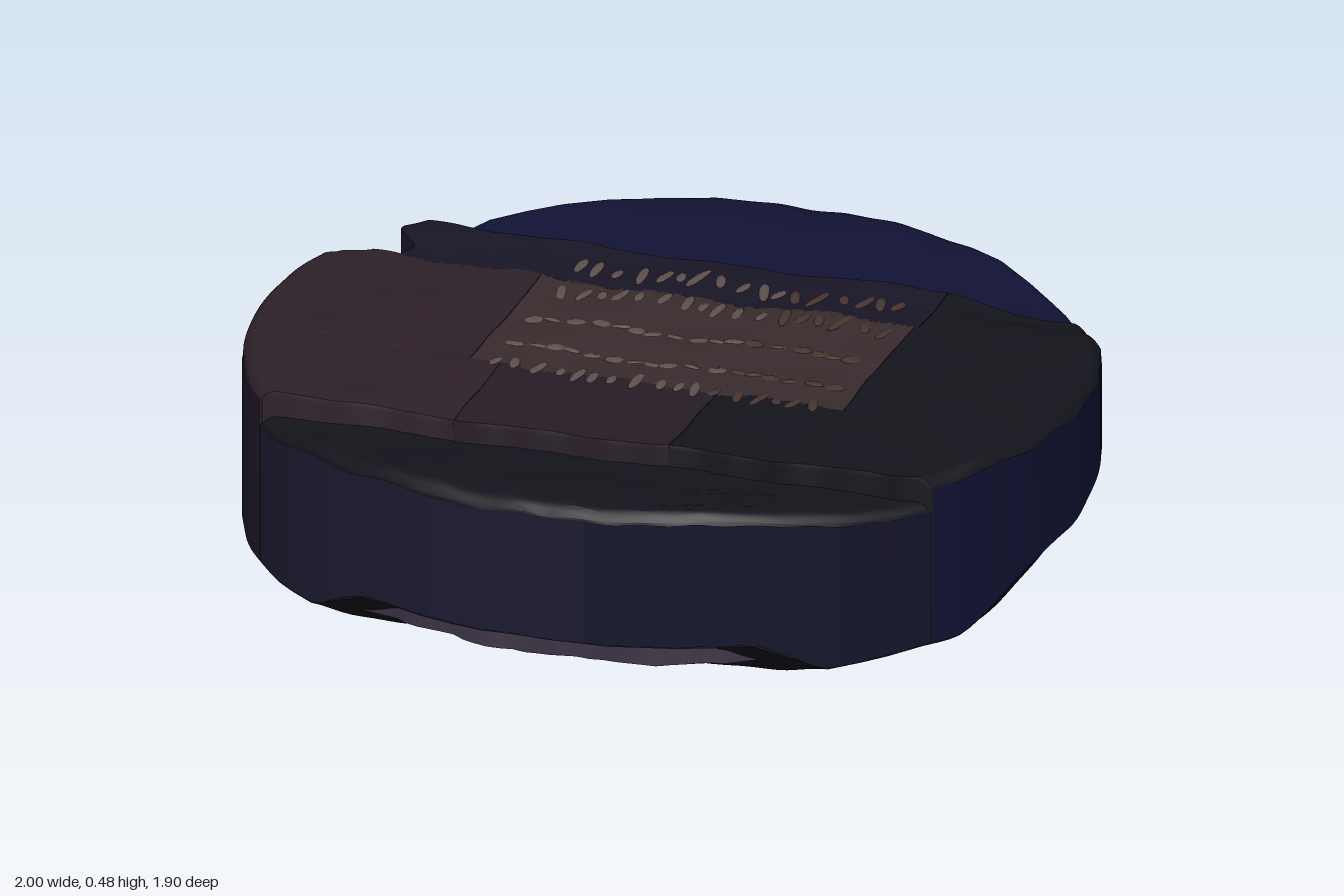
import * as THREE from 'three';
import { toCreasedNormals } from 'three/addons/utils/BufferGeometryUtils.js';

const RZ = 0.949;
const step = THREE.MathUtils.smoothstep;
const wobble = (x, z) => Math.sin(x * 17 + z * 9) * 0.5 + Math.sin(x * 41 - z * 23 + 1) * 0.3 + Math.sin(x * 7 + z * 31 + 2) * 0.3;

// Outline of the disc: slightly squarer in front, with a broken notch on the -x side
const power = z => (z > 0 ? 2.1 : 2);
const halfWidth = z => 0.997 * Math.max(0, 1 - (Math.abs(z) / RZ) ** power(z)) ** (1 / power(z)) * (1 + 0.002 * Math.sin(z * 29));
function leftEdge(z, behindNotch) {
  const bite = behindNotch
    ? 0.06 * step(z, -0.8, -0.5) + 0.11 * step(z, -0.45, -0.35)
    : z < 0 ? 0.1 * step(-z, 0.24, 0.3) : 0;
  return -halfWidth(z) + bite;
}
const rimDistance = (x, z) => 1 - (Math.abs(x) ** power(z) + (Math.abs(z) / RZ) ** power(z)) ** (1 / power(z));

// Underside: shallow belly that rises to the back, the front rim and the +x rim
function bottomY(x, z) {
  const rim = 1 - step(rimDistance(x, z), 0, 0.07);
  return 0.008 + 0.055 * step(-z, -0.2, 0.65) + 0.035 * step(-z, 0.6, 0.95)
    + 0.085 * step(z, 0.74, 0.86) * (1 - step(Math.abs(x), 0.56, 0.7))
    + 0.03 * step(x, 0.3, 0.9) + 0.012 * step(-x, 0.3, 0.9) + 0.12 * step(x, 0.86, 1)
    + 0.05 * step(x - z, 0.6, 1.3) * step(-z, -0.1, 0.4)
    + 0.012 * rim + 0.003 * (1 + wobble(x, z));
}

// Upper face: raised middle boards, lower front and back boards that rise to the rim
function topY(x, z, level) {
  let y = 0.462 + 0.012 * step(Math.abs(x), 0.4, 0.95) - 0.045 * step(-z, 0.31, 0.51) * step(x, 0.5, 0.7);
  if (level === 'back') y = 0.4 + 0.048 * step(-z, 0.53, 0.85);
  if (level === 'front') y = 0.41 + 0.038 * step(z, 0.57, 0.88);
  const d = Math.max(0, rimDistance(x, z));
  return y - 0.026 * (1 - Math.min(1, d / 0.03)) ** 2 + 0.006 * wobble(x, z);
}

function meshData(pos, idx) {
  const g = new THREE.BufferGeometry();
  g.setAttribute('position', new THREE.Float32BufferAttribute(pos, 3));
  g.setIndex(idx);
  return toCreasedNormals(g, 0.7);
}

// A closed board between two seams, clipped by the disc outline
function board({ z0, z1, x0 = -2, x1 = 2, level = 'middle', behind = false }) {
  const nx = 44, nz = 16, ring = 2 * (nx + 1), pos = [], idx = [];
  const startSeam = z0 > -0.9, endSeam = z1 < 0.9, lap = 0.006;
  const t0 = Math.asin((z0 - (startSeam ? lap : 0)) / RZ), t1 = Math.asin((z1 + (endSeam ? lap : 0)) / RZ);
  for (let j = 0; j <= nz; j++) {
    const s = (1 - Math.cos(Math.PI * j / nz)) / 2;
    const z = RZ * Math.sin(t0 + (t1 - t0) * s);
    const xl = Math.max(x0, leftEdge(z, behind)), xr = Math.min(x1, halfWidth(z));
    for (let k = 0; k < ring; k++) {
      const top = k <= nx, i = top ? k : ring - 1 - k;
      const x = xl + (xr - xl) * (1 - Math.cos(Math.PI * i / nx)) / 2;
      // ragged seams away from the rim, with a fine groove along each board edge
      const shift = 0.011 * wobble(x, 0) * (1 - step(Math.abs(z), 0.57, 0.8)) * step(rimDistance(x, z), 0, 0.1);
      const onSeam = (j === 0 && startSeam) || (j === nz && endSeam);
      const onCut = (i === 0 && x0 > -2) || (i === nx && x1 < 2);
      const y = top ? topY(x, z, level) - (onSeam || onCut ? 0.012 : 0) : bottomY(x, z);
      pos.push(x, y, z + shift);
    }
  }
  for (let j = 0; j < nz; j++) for (let k = 0; k < ring; k++) {
    const a = j * ring + k, b = j * ring + (k + 1) % ring;
    idx.push(a, a + ring, b, b, a + ring, b + ring);
  }
  const e = nz * ring;
  for (let i = 0; i < nx; i++) {
    const u = ring - 1 - i;
    idx.push(i, i + 1, u, i + 1, u - 1, u);
    idx.push(e + i, e + u, e + i + 1, e + i + 1, e + u, e + u - 1);
  }
  return meshData(pos, idx);
}

// Thin weathered skin on the outer wall between two angles (0 = +x, 90 = front)
function rimSkin(from, to, level) {
  const n = 40, pos = [], idx = [];
  for (let i = 0; i <= n; i++) {
    const a = THREE.MathUtils.degToRad(from + (to - from) * i / n);
    const z = RZ * Math.sin(a), x = Math.sign(Math.cos(a)) * halfWidth(z);
    for (const y of [bottomY(x, z) + 0.004, topY(x, z, level) - 0.004]) pos.push(x * 1.003, y, z * 1.003);
    if (i < n) idx.push(2 * i, 2 * i + 2, 2 * i + 1, 2 * i + 1, 2 * i + 2, 2 * i + 3);
  }
  return meshData(pos, idx);
}

// Splintered lip set back beneath the front wall, closed at both ends
function frontLip() {
  const n = 40, pos = [], idx = [];
  const section = [[0.04, 0.125], [0.035, 0.055], [0.15, 0.012], [0.2, 0.06]];
  for (let i = 0; i <= n; i++) {
    const x = -0.65 + 1.25 * i / n, fade = step(Math.abs(x), 0.5, 0.66);
    const rimZ = RZ * Math.sqrt(1 - x * x);
    for (const [inset, y] of section) pos.push(x, y + 0.02 * fade + 0.006 * wobble(x, y), rimZ - inset - 0.02 * fade + 0.008 * wobble(x * 2, y));
  }
  for (let i = 0; i < n; i++) for (let k = 0; k < 4; k++) {
    const a = i * 4 + k, b = i * 4 + (k + 1) % 4;
    idx.push(a, b, a + 4, b, b + 4, a + 4);
  }
  const e = n * 4;
  idx.push(0, 2, 1, 0, 3, 2, e, e + 1, e + 2, e, e + 2, e + 3);
  return meshData(pos, idx);
}

// Oval worn patch that follows the underside
function wornPatch() {
  const g = new THREE.RingGeometry(0.001, 1, 48, 14);
  g.rotateX(Math.PI / 2);
  const p = g.attributes.position;
  for (let i = 0; i < p.count; i++) {
    const x = p.getX(i) * 0.74 - 0.13, z = p.getZ(i) * 0.6 + 0.06;
    p.setXYZ(i, x, bottomY(x, z) - 0.004, z);
  }
  g.computeVertexNormals();
  return g;
}

export function createModel() {
  const model = new THREE.Group();
  model.name = 'plankDisc';
  const add = (name, geometry, color, parent = model) => {
    const m = new THREE.Mesh(geometry, new THREE.MeshStandardMaterial({ color }));
    m.name = name;
    parent.add(m);
    return m;
  };

  // Boards from back to front
  const navy = 0x111133, brown = 0x2d2029, dark = 0x14141c, plum = 0x261c25;
  add('backBoard', board({ z0: -RZ, z1: -0.51, level: 'back', behind: true }), navy);
  add('notchedBoard', board({ z0: -0.51, z1: -0.3, x1: 0.5, behind: true }), 0x181526);
  add('notchedBoardEnd', board({ z0: -0.51, z1: -0.3, x0: 0.5, behind: true }), dark);
  for (const [z0, z1] of [[-0.3, -0.06], [-0.06, 0.22]]) {
    add('middleBoardRight', board({ z0, z1, x1: -0.43 }), brown);
    add('middleBoardCentre', board({ z0, z1, x0: -0.43, x1: 0.49 }), 0x382b2e);
    add('middleBoardLeft', board({ z0, z1, x0: 0.49 }), dark);
  }
  add('innerFrontBoardRight', board({ z0: 0.22, z1: 0.56, x1: -0.35 }), brown);
  add('innerFrontBoardCentre', board({ z0: 0.22, z1: 0.56, x0: -0.35, x1: 0.18 }), plum);
  add('innerFrontBoardLeft', board({ z0: 0.22, z1: 0.56, x0: 0.18 }), dark);
  add('frontBoard', board({ z0: 0.56, z1: RZ, level: 'front' }), dark);

  // Outer wall
  add('leftRim', rimSkin(36, -32, 'middle'), navy);
  add('frontLeftRim', rimSkin(85, 36.5, 'front'), 0x15152c);
  add('frontRightRim', rimSkin(143.5, 85, 'front'), 0x1c1a30);
  add('rightRim', rimSkin(194, 144, 'middle'), 0x1f1828);
  add('frontLip', frontLip(), 0x3a3244);

  // Pale scuffs in rows across the centre
  const scuffs = new THREE.Group();
  scuffs.name = 'scuffMarks';
  model.add(scuffs);
  const blob = new THREE.SphereGeometry(1, 10, 6);
  [[-0.39, 0.055], [-0.25, 0.05], [-0.07, 0.02], [0.1, 0.018], [0.22, 0.045]].forEach(([z, len], row) => {
    for (let i = 0; i < 17; i++) {
      const x = -0.36 + i * 0.049 + 0.01 * Math.sin(i * 5 + row * 3);
      const m = add('scuff', blob, i > 10 ? 0x47342f : 0x5e4f4b, scuffs);
      m.position.set(x, topY(x, z, 'middle') - 0.002, z + 0.012 * Math.sin(i * 7 + row));
      m.scale.set(len > 0.03 ? 0.013 : 0.026, 0.006, len * (0.8 + 0.3 * Math.sin(i * 2.3 + row)));
      m.rotation.y = 0.3 * Math.sin(i * 3 + row);
    }
  });

  // Worn underside with a line of splinters from the centre to the -x rim
  add('wornUnderside', wornPatch(), 0x3f3433);
  for (let i = 0; i < 6; i++) {
    const x = 0.1 - i * 0.16, z = -0.1 + i * 0.07 + 0.015 * Math.sin(i * 4);
    const m = add('undersideSplinter', blob, 0x4a4055);
    m.position.set(x, bottomY(x, z) + 0.002, z);
    m.scale.set(0.14, 0.009, 0.014);
    m.rotation.y = 0.4;
  }
  return model;
}
